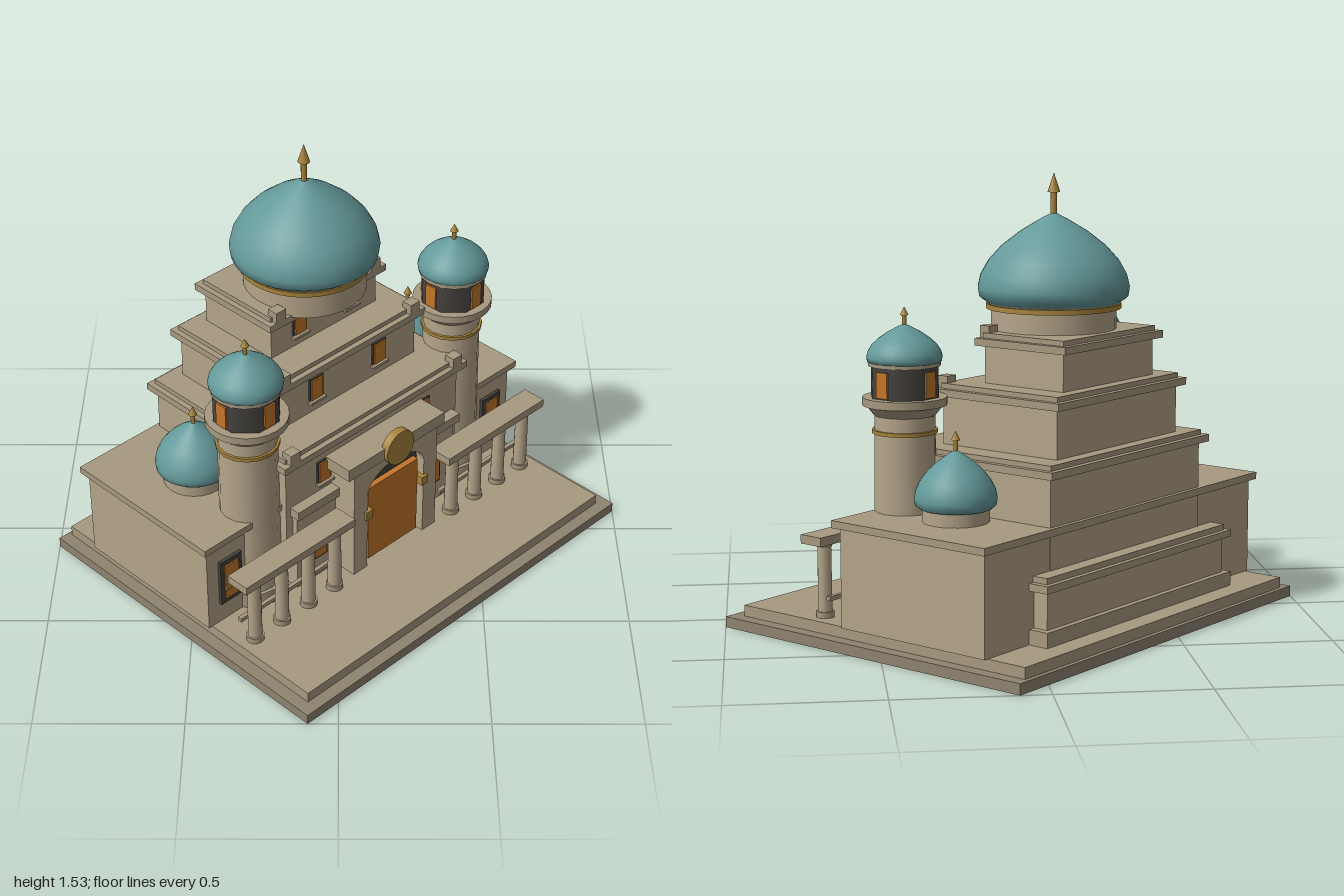
import * as THREE from 'three';

const mat = (name, color) => {
  const m = new THREE.MeshStandardMaterial({ color });
  m.name = name;
  return m;
};

export function createModel() {
  const stone = mat('stone', 0xb5a58a), trim = mat('trim stone', 0xa8997f), plinthMat = mat('plinth stone', 0x8f8470);
  const teal = mat('teal dome', 0x64999a), dark = mat('dark stone', 0x45423e);
  const amber = mat('amber panel', 0xc4762a), gold = mat('gold', 0xa8853c);

  const model = new THREE.Group();
  const temple = new THREE.Group();
  temple.name = 'temple';
  temple.rotation.y = Math.PI / 4; // the facade looks along the diagonal
  model.add(temple);

  const add = (name, geo, m, x = 0, y = 0, z = 0, parent = temple) => {
    const mesh = new THREE.Mesh(geo, m);
    mesh.name = name;
    mesh.position.set(x, y, z);
    parent.add(mesh);
    return mesh;
  };
  // box given by its limits
  const box = (name, m, x0, x1, y0, y1, z0, z1) =>
    add(name, new THREE.BoxGeometry(x1 - x0, y1 - y0, z1 - z0), m, (x0 + x1) / 2, (y0 + y1) / 2, (z0 + z1) / 2);
  const cyl = (name, m, r0, r1, y0, y1, x, z, sides = 24) =>
    add(name, new THREE.CylinderGeometry(r1, r0, y1 - y0, sides), m, x, (y0 + y1) / 2, z);

  // onion dome with a spired finial
  const domeProfile = [[0.88, 0], [0.98, 0.06], [1, 0.17], [0.96, 0.31], [0.86, 0.46], [0.69, 0.62], [0.45, 0.78], [0.2, 0.91], [0, 1]];
  const onion = (name, r, y0, y1, tip, x, z) => {
    const pts = domeProfile.map(([a, b]) => new THREE.Vector2(a * r, b * (y1 - y0)));
    add(name, new THREE.LatheGeometry(pts, 32), teal, x, y0, z);
    const under = add(name + 'Underside', new THREE.CircleGeometry(r * 0.88, 32), teal, x, y0, z);
    under.rotation.x = Math.PI / 2;
    const mid = y1 + (tip - y1) * 0.5, rod = 0.004 + r * 0.026;
    cyl(name + 'FinialRod', gold, rod, rod, y1 - 0.02, mid, x, z, 10);
    cyl(name + 'FinialTip', gold, rod * 2, 0, mid, tip, x, z, 10);
  };

  // stepped platform
  box('lowerPlatform', plinthMat, -0.778, 0.778, 0, 0.037, -0.636, 0.636);
  box('upperPlatform', trim, -0.733, 0.733, 0.037, 0.075, -0.62, 0.592);

  // wide side wings under one roof slab
  box('wings', stone, -0.748, 0.748, 0.075, 0.41, -0.472, 0.13);
  box('wingRoof', trim, -0.77, 0.77, 0.41, 0.435, -0.49, 0.15);

  // front hall behind the colonnade
  box('frontHall', stone, -0.39, 0.39, 0.075, 0.385, 0.1, 0.19);
  box('frontHallRoof', trim, -0.4, 0.4, 0.385, 0.42, 0.1, 0.21);

  // rear base tier
  box('rearFooting', trim, -0.525, 0.525, 0.075, 0.125, -0.545, -0.4);
  box('rearBase', stone, -0.5, 0.5, 0.125, 0.25, -0.525, -0.4);
  box('rearEave', trim, -0.525, 0.525, 0.25, 0.275, -0.545, -0.4);
  box('rearEaveStep', trim, -0.505, 0.505, 0.275, 0.295, -0.528, -0.4);

  // stepped tiers: half width, back, front, bottom, eave height, window spread
  const tiers = [
    [0.445, -0.5, 0.195, 0.25, 0.595, 0.244, 0.5],
    [0.36, -0.46, 0.065, 0.595, 0.8, 0.152, 0.73],
    [0.275, -0.42, -0.045, 0.8, 0.968, 0.12, 0.93],
  ];
  tiers.forEach(([w, b, f, y0, y1, wx, wy], i) => {
    const n = 'tier' + (i + 1);
    box(n + 'Wall', stone, -w + 0.025, w - 0.025, y0, y1, b + 0.025, f - 0.025);
    box(n + 'Eave', trim, -w, w, y1, y1 + 0.025, b, f);
    box(n + 'EaveStep', trim, -w + 0.02, w - 0.02, y1 + 0.025, y1 + 0.042, b + 0.02, f - 0.02);
    for (const s of [-1, 1]) {
      const x = s * wx;
      box(n + 'ParapetBlock', trim, s * (w - 0.05) - 0.022, s * (w - 0.05) + 0.022, y1, y1 + 0.065, f - 0.04, f);
      box(n + 'WindowFrame', dark, x - 0.032, x + 0.032, wy - 0.045, wy + 0.045, f - 0.03, f - 0.019);
      box(n + 'Window', amber, x - 0.026, x + 0.026, wy - 0.04, wy + 0.04, f - 0.022, f - 0.014);
      box(n + 'WindowSill', trim, x - 0.036, x + 0.036, wy - 0.052, wy - 0.042, f - 0.025, f - 0.006);
    }
  });

  // main drum and dome
  const dz = -0.163;
  cyl('mainDrum', stone, 0.212, 0.212, 0.985, 1.08, 0, dz, 32);
  cyl('mainDrumRing', gold, 0.228, 0.228, 1.078, 1.095, 0, dz, 32);
  cyl('mainDrumCornice', trim, 0.222, 0.232, 1.095, 1.11, 0, dz, 32);
  onion('mainDome', 0.256, 1.1, 1.4, 1.53, 0, dz);

  // mirrored parts
  for (const s of [-1, 1]) {
    // rear side domes
    cyl('sideDrum', stone, 0.11, 0.11, 0.43, 0.485, s * 0.523, -0.17);
    onion('sideDome', 0.135, 0.48, 0.67, 0.73, s * 0.523, -0.17);

    // front towers
    const tx = s * 0.495, tz = 0.07;
    cyl('towerFoot', trim, 0.118, 0.118, 0.075, 0.13, tx, tz, 16);
    cyl('towerShaft', stone, 0.105, 0.1, 0.13, 0.765, tx, tz, 16);
    cyl('towerRing', gold, 0.109, 0.109, 0.695, 0.708, tx, tz, 16);
    cyl('towerCorbel', trim, 0.102, 0.13, 0.755, 0.79, tx, tz, 24);
    cyl('towerBalcony', trim, 0.14, 0.14, 0.788, 0.815, tx, tz, 24);
    const lantern = cyl('towerLantern', dark, 0.117, 0.117, 0.81, 0.925, tx, tz, 8);
    lantern.rotation.y = Math.PI / 8;
    for (let k = 0; k < 4; k++) {
      const a = k * Math.PI / 2;
      const pane = add('lanternPane', new THREE.BoxGeometry(0.046, 0.085, 0.008), amber,
        tx + Math.sin(a) * 0.11, 0.862, tz + Math.cos(a) * 0.11);
      pane.rotation.y = a;
    }
    cyl('lanternCornice', trim, 0.12, 0.12, 0.918, 0.932, tx, tz, 16);
    onion('towerDome', 0.125, 0.925, 1.055, 1.11, tx, tz);

    // wing and hall windows
    const wx = s * 0.65, hx = s * 0.285;
    box('wingWindowFrame', dark, wx - 0.048, wx + 0.048, 0.155, 0.335, 0.12, 0.142);
    box('wingWindow', amber, wx - 0.03, wx + 0.03, 0.175, 0.315, 0.14, 0.147);
    box('wingWindowBar', gold, wx - 0.03, wx + 0.03, 0.215, 0.227, 0.145, 0.152);
    box('hallWindowFrame', dark, hx - 0.036, hx + 0.036, 0.155, 0.295, 0.185, 0.195);
    box('hallWindow', amber, hx - 0.028, hx + 0.028, 0.163, 0.287, 0.193, 0.2);

    // colonnade
    const a = s * 0.235, b = s * 0.74;
    box('colonnadeRoof', trim, Math.min(a, b), Math.max(a, b), 0.33, 0.36, 0.225, 0.315);
    box('colonnadeRail', trim, Math.min(a, b) + 0.04, Math.max(a, b) - 0.04, 0.14, 0.155, 0.225, 0.24);
    for (const c of [0.67, 0.545, 0.42, 0.295]) {
      cyl('column', stone, 0.025, 0.023, 0.075, 0.33, s * c, 0.275, 12);
      cyl('columnBase', trim, 0.031, 0.031, 0.075, 0.095, s * c, 0.275, 12);
      cyl('columnCapital', trim, 0.024, 0.032, 0.312, 0.33, s * c, 0.275, 12);
    }
    // door brackets
    box('doorBracket', gold, s * 0.138 - 0.016, s * 0.138 + 0.016, 0.29, 0.325, 0.255, 0.29);
  }

  // portal with an arched opening
  const portal = new THREE.Shape();
  portal.moveTo(-0.205, 0.075).lineTo(-0.14, 0.075).lineTo(-0.14, 0.385);
  portal.absellipse(0, 0.385, 0.14, 0.09, Math.PI, 0, true);
  portal.lineTo(0.14, 0.075).lineTo(0.205, 0.075).lineTo(0.205, 0.505).lineTo(-0.205, 0.505);
  add('portal', new THREE.ExtrudeGeometry(portal, { depth: 0.11, bevelEnabled: false, curveSegments: 16 }), stone, 0, 0, 0.17);
  box('portalLintel', trim, -0.235, 0.235, 0.503, 0.55, 0.165, 0.285);
  box('portalBack', dark, -0.142, 0.142, 0.075, 0.48, 0.17, 0.245);
  box('door', amber, -0.122, 0.122, 0.09, 0.4, 0.245, 0.267);
  const disc = cyl('portalDisc', gold, 0.066, 0.066, 0, 0.03, 0, 0, 24);
  disc.position.set(0, 0.53, 0.285);
  disc.rotation.x = Math.PI / 2;

  return model;
}
